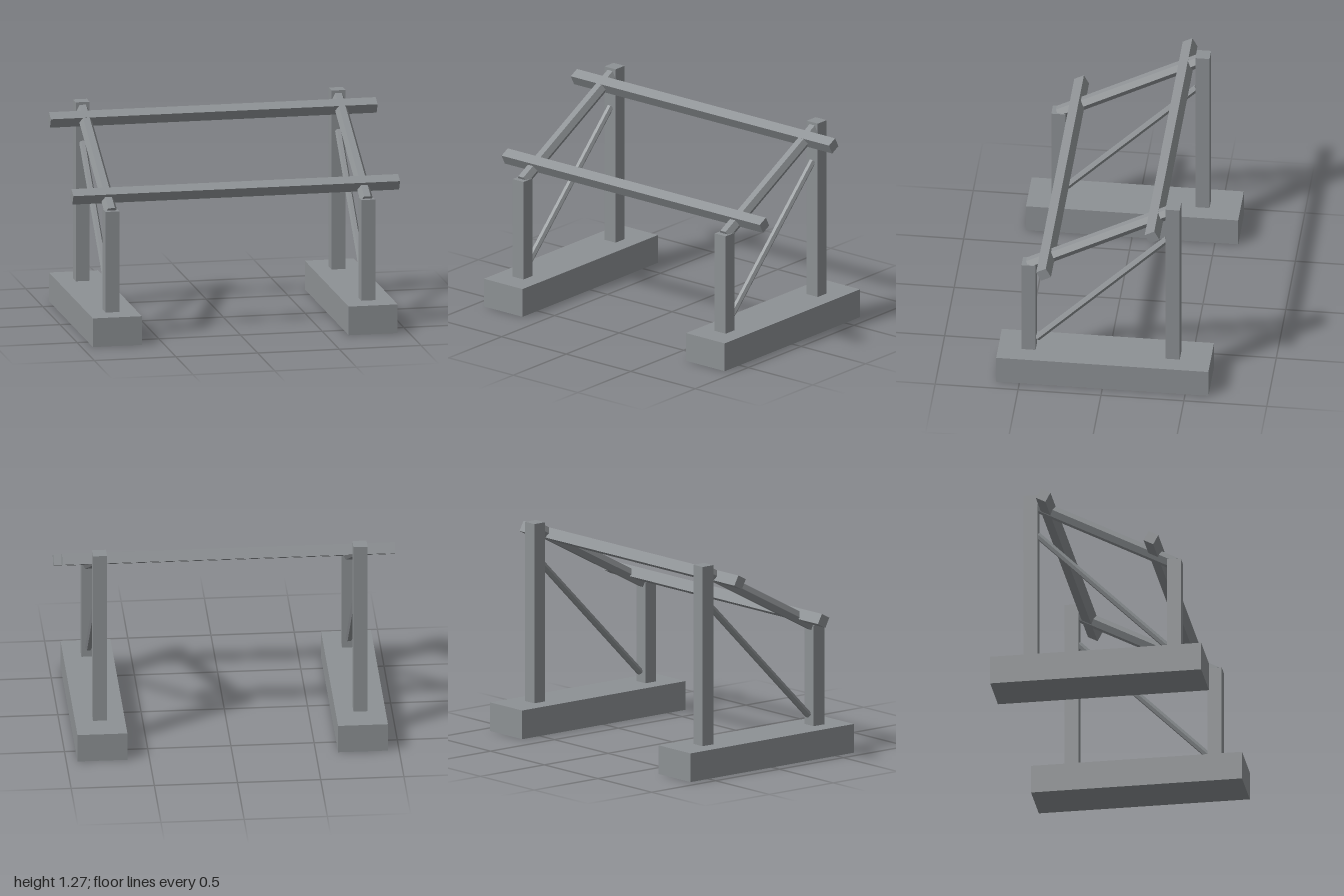
import * as THREE from 'three';

export function createModel() {
  const model = new THREE.Group();
  model.name = 'rackFrame';

  const grey = new THREE.MeshStandardMaterial({ color: 0x8d9194 });
  grey.name = 'grey';

  const add = (parent, name, geometry, x, y, z) => {
    const mesh = new THREE.Mesh(geometry, grey);
    mesh.name = name;
    mesh.position.set(x, y, z);
    parent.add(mesh);
    return mesh;
  };

  // Upright box standing between two heights
  const block = (parent, name, w, d, y0, y1, z) =>
    add(parent, name, new THREE.BoxGeometry(w, y1 - y0, d), 0, (y0 + y1) / 2, z);

  // Hexagonal bar in the side plane, flat side up, between [z, y] points
  const hexBar = (parent, name, r, [z0, y0], [z1, y1]) => {
    const length = Math.hypot(z1 - z0, y1 - y0);
    let g = new THREE.CylinderGeometry(r, r, length, 6).rotateY(Math.PI / 2);
    g = g.toNonIndexed();
    g.computeVertexNormals();
    g.rotateX(Math.atan2(z1 - z0, y1 - y0));
    return add(parent, name, g, 0, (y0 + y1) / 2, (z0 + z1) / 2);
  };

  // Two matching side frames
  for (const [name, x] of [['leftFrame', 0.783], ['rightFrame', -0.783]]) {
    const frame = new THREE.Group();
    frame.name = name;
    frame.position.x = x;
    block(frame, 'footing', 0.3, 1.28, 0, 0.176, 0);
    block(frame, 'frontPost', 0.085, 0.085, 0.176, 0.794, 0.457);
    block(frame, 'backPost', 0.085, 0.085, 0.176, 1.275, -0.4125);
    hexBar(frame, 'rafter', 0.04, [0.458, 0.779], [-0.405, 1.238]);
    hexBar(frame, 'diagonalBrace', 0.021, [0.409, 0.239], [-0.374, 1.027]);
    model.add(frame);
  }

  // Long cross rails, tilted with the rafters
  const slope = Math.atan(0.532);
  for (const [name, y, z] of [['lowerRail', 0.861, 0.346], ['upperRail', 1.189, -0.308]]) {
    add(model, name, new THREE.BoxGeometry(2, 0.066, 0.066), 0, y, z).rotation.x = slope;
  }

  return model;
}
